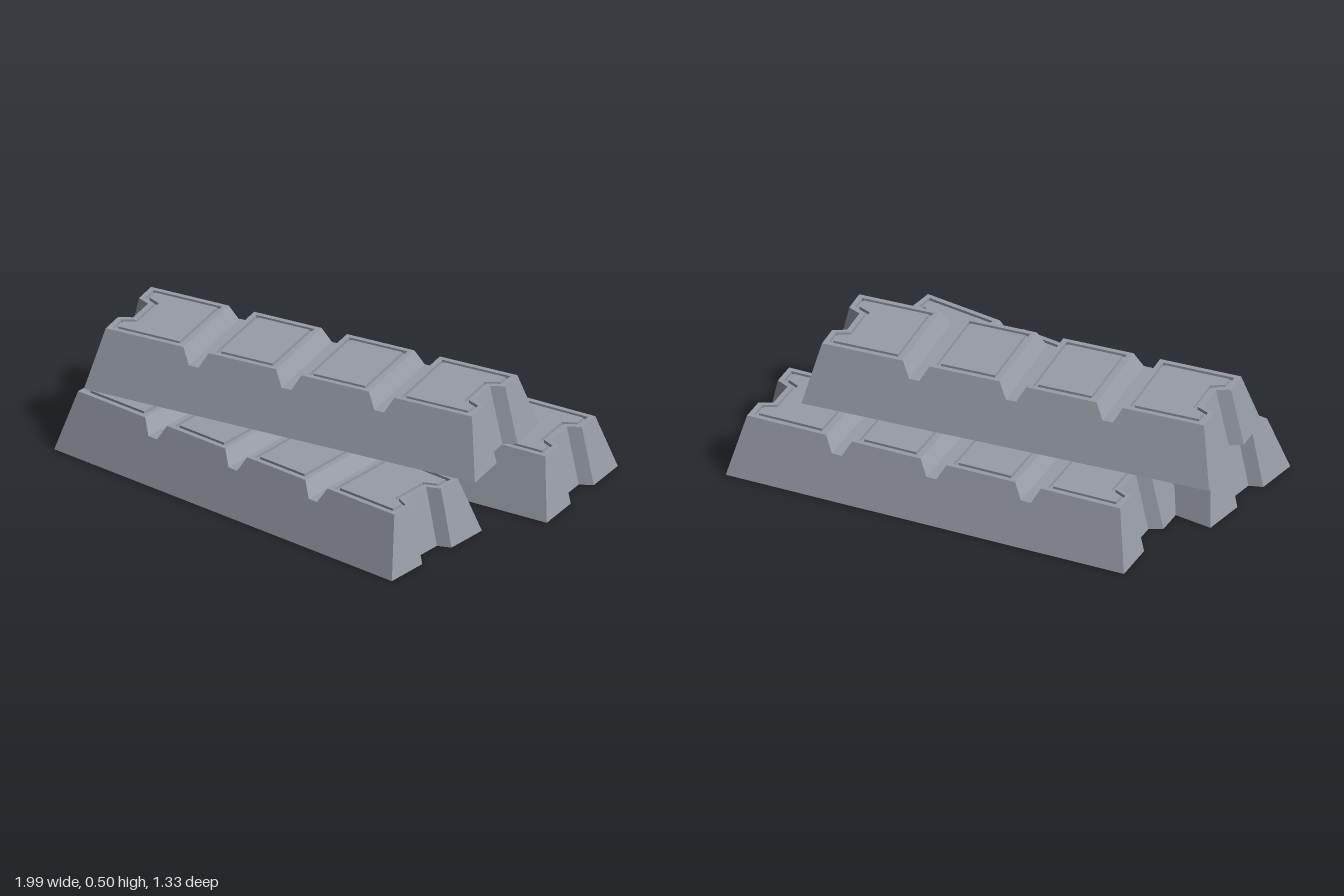
import * as THREE from 'three';

const H = 0.25;          // ingot height
const GROOVE_Y = 0.185;  // floor of the cross grooves

// Tapered dimensions at height y
const halfLength = y => 0.885 - 0.056 * y / H;
const halfWidth = y => 0.283 - 0.083 * y / H;
const grooveHalf = y => 0.022 + 0.0355 * (y - GROOVE_Y) / (H - GROOVE_Y);

// Notched end outline, counter-clockwise from above; points are [x, -z]
function endOutline(y) {
  const e = halfLength(y), w = halfWidth(y), inner = e - 0.055;
  return [[e, -w], [e, -0.092], [inner, -0.066], [inner, 0.066], [e, 0.092], [e, w]];
}
const turn = points => points.map(([x, y]) => [-x, -y]);

function bodyOutline(y) {
  return [...endOutline(y), ...turn(endOutline(y))];
}

function endBlockOutline(y) {
  const x = 0.42 + grooveHalf(y), w = halfWidth(y);
  return [...endOutline(y), [x, w], [x, -w]];
}

function middleBlockOutline(y) {
  const a = grooveHalf(y), b = 0.42 - grooveHalf(y), w = halfWidth(y);
  return [[b, -w], [b, w], [a, w], [a, -w]];
}

// Moves every edge of an outline inwards by d
function inset(points, d) {
  const n = points.length;
  const normal = (a, b) => {
    const dx = b[0] - a[0], dy = b[1] - a[1], l = Math.hypot(dx, dy);
    return [-dy / l, dx / l];
  };
  return points.map((p, i) => {
    const n1 = normal(points[(i + n - 1) % n], p);
    const n2 = normal(p, points[(i + 1) % n]);
    const k = d / (1 + n1[0] * n2[0] + n1[1] * n2[1]);
    return [p[0] + (n1[0] + n2[0]) * k, p[1] + (n1[1] + n2[1]) * k];
  });
}

// Joins a stack of [outline, height] rings and caps it
function loft(rings, bottomCap) {
  const pos = [];
  const put = (r, i) => pos.push(r[0][i][0], r[1], -r[0][i][1]);
  const n = rings[0][0].length;
  for (let k = 0; k < rings.length - 1; k++) {
    const lo = rings[k], hi = rings[k + 1];
    for (let i = 0; i < n; i++) {
      const j = (i + 1) % n;
      put(lo, i); put(lo, j); put(hi, j);
      put(lo, i); put(hi, j); put(hi, i);
    }
  }
  const cap = (ring, flip) => {
    const contour = ring[0].map(p => new THREE.Vector2(p[0], p[1]));
    for (const [a, b, c] of THREE.ShapeUtils.triangulateShape(contour, [])) {
      put(ring, a); put(ring, flip ? c : b); put(ring, flip ? b : c);
    }
  };
  cap(rings[rings.length - 1], false);
  if (bottomCap) cap(rings[0], true);
  const g = new THREE.BufferGeometry();
  g.setAttribute('position', new THREE.Float32BufferAttribute(pos, 3));
  g.computeVertexNormals();
  return g;
}

// Raised block with a thin channel framing its top panel
function blockGeometry(outline) {
  const top = outline(H), outer = inset(top, 0.021), inner = inset(top, 0.036);
  const floor = H - 0.014;
  return loft([
    [outline(GROOVE_Y), GROOVE_Y], [top, H], [outer, H],
    [outer, floor], [inner, floor], [inner, H],
  ], false);
}

export function createModel() {
  const metal = new THREE.MeshStandardMaterial({ color: 0x979ca6, flatShading: true });
  metal.name = 'greyMetal';

  const body = loft([[bodyOutline(0), 0], [bodyOutline(GROOVE_Y), GROOVE_Y]], true);
  const endBlock = blockGeometry(endBlockOutline);
  const middleBlock = blockGeometry(middleBlockOutline);

  function ingot(name, x, y, z, degrees) {
    const g = new THREE.Group();
    g.name = name;
    const add = (geometry, part, angle = 0) => {
      const m = new THREE.Mesh(geometry, metal);
      m.name = part;
      m.rotation.y = angle;
      g.add(m);
    };
    add(body, 'ingotBody');
    for (const [side, angle] of [['left', 0], ['right', Math.PI]]) {
      add(endBlock, side + 'EndBlock', angle);
      add(middleBlock, side + 'MiddleBlock', angle);
    }
    g.position.set(x, y, z);
    g.rotation.y = THREE.MathUtils.degToRad(degrees);
    return g;
  }

  // Two ingots side by side with a third laid across them
  const model = new THREE.Group();
  model.name = 'ingotStack';
  model.add(
    ingot('frontIngot', -0.088, 0, 0.311, -4.8),
    ingot('backIngot', 0.088, 0, -0.311, 4.7),
    ingot('topIngot', -0.085, H, 0.01, 7.8),
  );
  return model;
}
